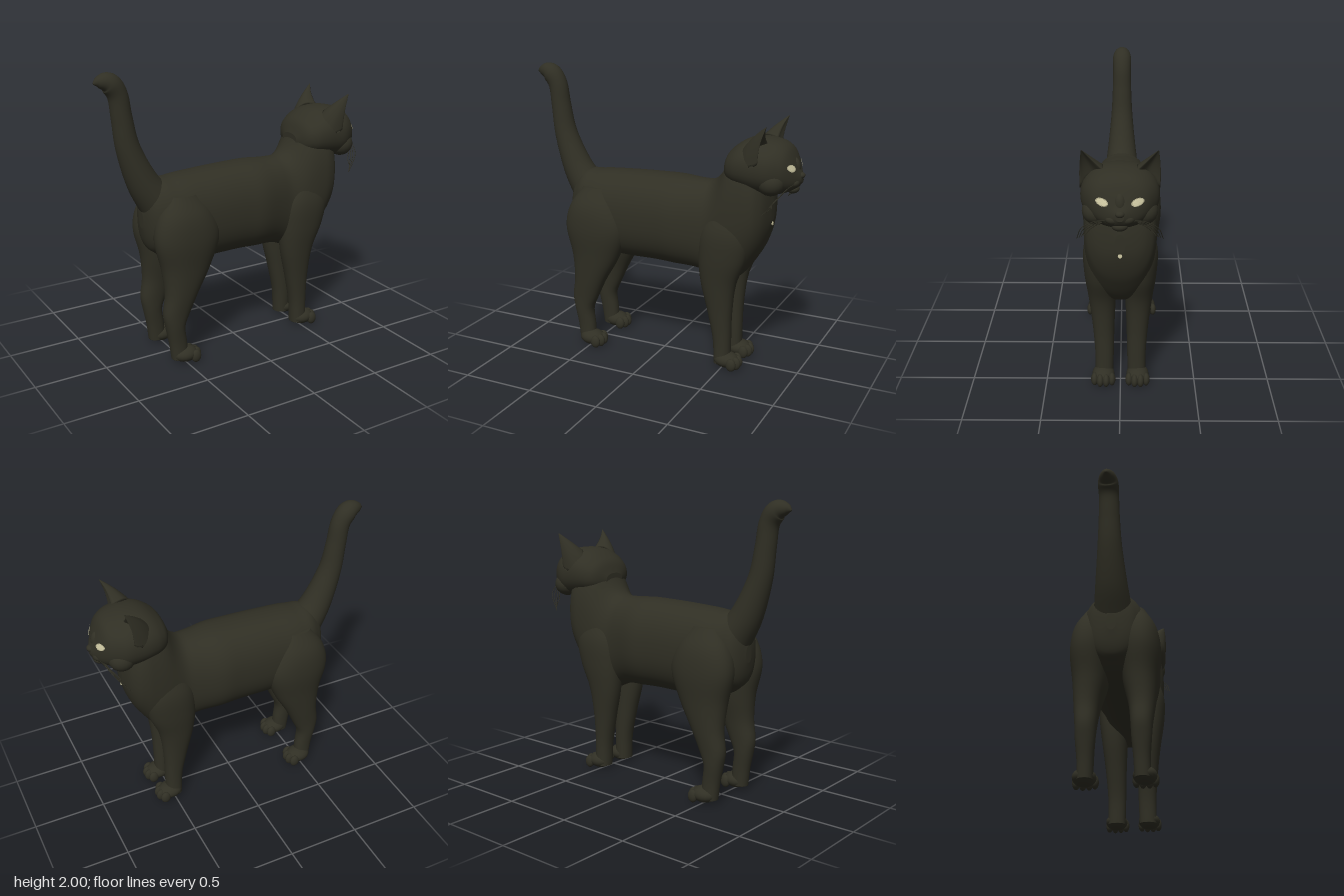
import * as THREE from 'three';

const V = (x, y, z) => new THREE.Vector3(x, y, z);
const fur = new THREE.MeshStandardMaterial({ color: 0x302f24 });
fur.name = 'dark fur';
const pale = new THREE.MeshStandardMaterial({ color: 0xd2cca6, side: THREE.DoubleSide });
pale.name = 'pale eye';

// Closed skin over a list of point rings
function skin(rings) {
  const n = rings[0].length, pts = rings.flat(), index = [];
  const mid = ring => ring.reduce((s, p) => s.add(p), V(0, 0, 0)).divideScalar(n);
  const last = (rings.length - 1) * n, a = pts.length, b = a + 1;
  pts.push(mid(rings[0]), mid(rings[rings.length - 1]));
  for (let j = 0; j < n; j++) {
    const k = (j + 1) % n;
    for (let i = 0; i < last; i += n) index.push(i + j, i + k, i + n + j, i + k, i + n + k, i + n + j);
    index.push(a, k, j, b, last + j, last + k);
  }
  const g = new THREE.BufferGeometry().setFromPoints(pts);
  g.setIndex(index);
  g.computeVertexNormals();
  return g;
}

// Smooth interpolation of rows [t, ...values]
function spline(rows) {
  const f = new THREE.CubicInterpolant(rows.map(r => r[0]), rows.flatMap(r => r.slice(1)), rows[0].length - 1);
  return t => Array.from(f.evaluate(t));
}
const bend = (v, e) => Math.sign(v) * Math.pow(Math.abs(v), e);

// Rounded hull along x (rows: x, yMin, yMax, halfWidth) or y (rows: y, zMin, zMax, xMin, xMax)
function hull(rows, axis, side = 1, steps = 48, n = 36, e = 0.9) {
  const f = spline(rows), t0 = rows[0][0], t1 = rows[rows.length - 1][0], rings = [];
  for (let i = 0; i <= steps; i++) {
    const t = t0 + (t1 - t0) * (1 - Math.cos(Math.PI * i / steps)) / 2;
    const [a0, a1, b0, b1] = f(t), ring = [];
    for (let j = 0; j < n; j++) {
      const q = j / n * Math.PI * 2, c = bend(Math.cos(q), e), s = bend(Math.sin(q), e);
      const a = (a0 + a1) / 2 + (a1 - a0) / 2 * c;
      if (axis === 'x') ring.push(V(t, a, b0 * s));
      else ring.push(V((b0 + b1) / 2 + (b1 - b0) / 2 * s, t, side * (a0 + a1) / 2 + (a1 - a0) / 2 * c));
    }
    rings.push(ring);
  }
  return skin(rings);
}

const bodyRows = [
  [-0.705, 0.95, 1.06, 0.03], [-0.69, 0.86, 1.14, 0.09], [-0.62, 0.76, 1.25, 0.17], [-0.5, 0.7, 1.275, 0.22],
  [-0.3, 0.68, 1.29, 0.232], [0, 0.68, 1.3, 0.238], [0.12, 0.675, 1.3, 0.242], [0.3, 0.66, 1.29, 0.205],
  [0.38, 0.63, 1.3, 0.195], [0.45, 0.6, 1.37, 0.21], [0.52, 0.61, 1.5, 0.222], [0.6, 0.67, 1.56, 0.228],
  [0.68, 0.78, 1.54, 0.222], [0.74, 0.89, 1.42, 0.185], [0.775, 1.0, 1.27, 0.11], [0.787, 1.06, 1.18, 0.03]];
const headRows = [
  [0.47, 1.36, 1.44, 0.08], [0.5, 1.32, 1.51, 0.16], [0.55, 1.29, 1.56, 0.21], [0.62, 1.27, 1.6, 0.236],
  [0.72, 1.25, 1.615, 0.24], [0.8, 1.25, 1.605, 0.23], [0.86, 1.26, 1.585, 0.197], [0.9, 1.275, 1.55, 0.163],
  [0.93, 1.29, 1.49, 0.12], [0.955, 1.31, 1.43, 0.07], [0.975, 1.34, 1.395, 0.025]];
const hindRows = [
  [0.03, 0.125, 0.225, -0.59, -0.47], [0.15, 0.12, 0.225, -0.605, -0.48], [0.28, 0.11, 0.235, -0.63, -0.49],
  [0.36, 0.105, 0.24, -0.643, -0.455], [0.5, 0.09, 0.255, -0.625, -0.39], [0.68, 0.05, 0.272, -0.64, -0.29],
  [0.9, 0.03, 0.292, -0.685, -0.22], [1.05, 0.03, 0.27, -0.65, -0.27], [1.18, 0.07, 0.2, -0.56, -0.36]];
const frontRows = [
  [0.03, 0.05, 0.17, 0.435, 0.55], [0.2, 0.045, 0.17, 0.425, 0.55], [0.4, 0.04, 0.185, 0.385, 0.555],
  [0.62, 0.03, 0.212, 0.335, 0.585], [0.8, 0.02, 0.235, 0.32, 0.655], [0.98, 0.03, 0.238, 0.34, 0.68],
  [1.12, 0.07, 0.2, 0.42, 0.62]];

// Frontmost x of the head at (y, z)
const headAt = spline(headRows);
function faceX(y, z) {
  for (let x = 0.975; x > 0.6; x -= 0.001) {
    const [y0, y1, w] = headAt(x);
    const dy = Math.abs(2 * y - y0 - y1) / (y1 - y0), dz = Math.abs(z) / w;
    if (dy ** (2 / 0.9) + dz ** (2 / 0.9) <= 1) return x;
  }
  return 0.6;
}

export function createModel() {
  const cat = new THREE.Group();
  cat.name = 'cat';
  const add = (name, geometry, material = fur) => {
    const m = new THREE.Mesh(geometry, material);
    m.name = name;
    cat.add(m);
    return m;
  };
  const blob = (name, x, y, z, rx, ry, rz) => {
    add(name, new THREE.SphereGeometry(1, 20, 14).scale(rx, ry, rz).translate(x, y, z));
  };

  add('body', hull(bodyRows, 'x', 1, 72, 48, 0.88));
  add('head', hull(headRows, 'x', 1, 48, 40, 0.9));

  // Raised tail: rows of parameter, x, y, radius
  const tail = spline([[0, -0.58, 1.1, 0.13], [1, -0.69, 1.27, 0.105], [2, -0.78, 1.5, 0.08], [3, -0.815, 1.7, 0.069],
    [4, -0.838, 1.85, 0.066], [5, -0.892, 1.93, 0.066], [6, -0.965, 1.942, 0.035], [6.4, -0.995, 1.935, 0.006]]);
  const tailRings = [];
  for (let i = 0; i <= 48; i++) {
    const t = i / 48 * 6.4, [x, y, r] = tail(t), p = tail(Math.max(0, t - 0.05)), q = tail(Math.min(6.4, t + 0.05));
    const d = V(q[0] - p[0], q[1] - p[1], 0).normalize();
    tailRings.push(Array.from({ length: 24 }, (_, j) => {
      const c = r * Math.cos(j / 12 * Math.PI), s = r * Math.sin(j / 12 * Math.PI);
      return V(x + d.y * c, y - d.x * c, -s);
    }));
  }
  add('tail', skin(tailRings));

  // Muzzle, nose and chin
  blob('nose', 0.962, 1.385, 0, 0.03, 0.022, 0.03);
  blob('noseBridge', 0.915, 1.43, 0, 0.045, 0.07, 0.04);
  blob('chin', 0.915, 1.293, 0, 0.042, 0.032, 0.05);

  for (const s of [1, -1]) {
    const side = s > 0 ? 'left' : 'right';
    add(side + 'HindLeg', hull(hindRows, 'y', s));
    add(side + 'FrontLeg', hull(frontRows, 'y', s));

    // Paws with four toes
    for (const [name, x, z] of [['HindPaw', -0.48, 0.185], ['FrontPaw', 0.54, 0.115]]) {
      blob(side + name, x - 0.015, 0.058, s * z, 0.09, 0.055, 0.075);
      [-0.058, -0.02, 0.02, 0.058].forEach((dz, i) =>
        blob(side + name + 'Toe', x + (i % 3 ? 0.06 : 0.04), 0.046, s * (z + dz), 0.036, 0.045, 0.024));
    }

    // Cupped ear rising to a forward tip
    const base = [[0.77, 1.585, 0.095], [0.68, 1.6, 0.11], [0.61, 1.53, 0.165], [0.64, 1.45, 0.225],
      [0.75, 1.48, 0.24], [0.735, 1.53, 0.205], [0.725, 1.56, 0.15]].map(p => V(p[0], p[1], s * p[2]));
    const loop = new THREE.CatmullRomCurve3(base, true).getPoints(28).slice(0, -1);
    if (s < 0) loop.reverse();
    const tip = V(0.803, 1.725, s * 0.228), earRings = [];
    for (let i = 0; i <= 12; i++) {
      const t = i / 12 * 0.97;
      earRings.push(loop.map(p => p.clone().lerp(tip, t).add(V(-0.012 * Math.sin(t * Math.PI), 0, s * 0.006 * Math.sin(t * Math.PI)))));
    }
    add(side + 'Ear', skin(earRings));

    blob(side + 'MuzzlePad', 0.927, 1.343, s * 0.04, 0.042, 0.035, 0.05);
    blob(side + 'Cheek', 0.81, 1.35, s * 0.14, 0.09, 0.085, 0.088);

    // Almond eye laid on the face
    const eyeRings = [0.2, 0.5, 0.8, 1].map(k => Array.from({ length: 20 }, (_, j) => {
      const q = j / 10 * Math.PI, u = 0.039 * k * Math.cos(q), v = 0.024 * k * bend(Math.sin(q), 1.2);
      const y = 1.448 + v + u * 0.15, z = s * (0.105 + u);
      return V(faceX(y, z) + 0.006, y, z);
    }));
    add(side + 'Eye', skin(eyeRings), pale);

    // Drooping whiskers
    for (let i = 0; i < 4; i++) {
      const path = new THREE.CatmullRomCurve3([V(0.945 - i * 0.008, 1.335, s * 0.06), V(0.925 - i * 0.01, 1.325 - i * 0.012, s * 0.14),
        V(0.885 - i * 0.012, 1.27 - i * 0.012, s * (0.225 - i * 0.012)), V(0.8 + i * 0.015, 1.165 + i * 0.012, s * (0.262 - i * 0.015))]);
      add(side + 'Whisker', new THREE.TubeGeometry(path, 20, 0.0025, 5));
    }
  }

  // Small pale spot on the chest
  add('chestSpot', new THREE.CylinderGeometry(0.014, 0.014, 0.008, 8).rotateZ(Math.PI / 2).translate(0.785, 1.04, 0), pale);
  return cat;
}
